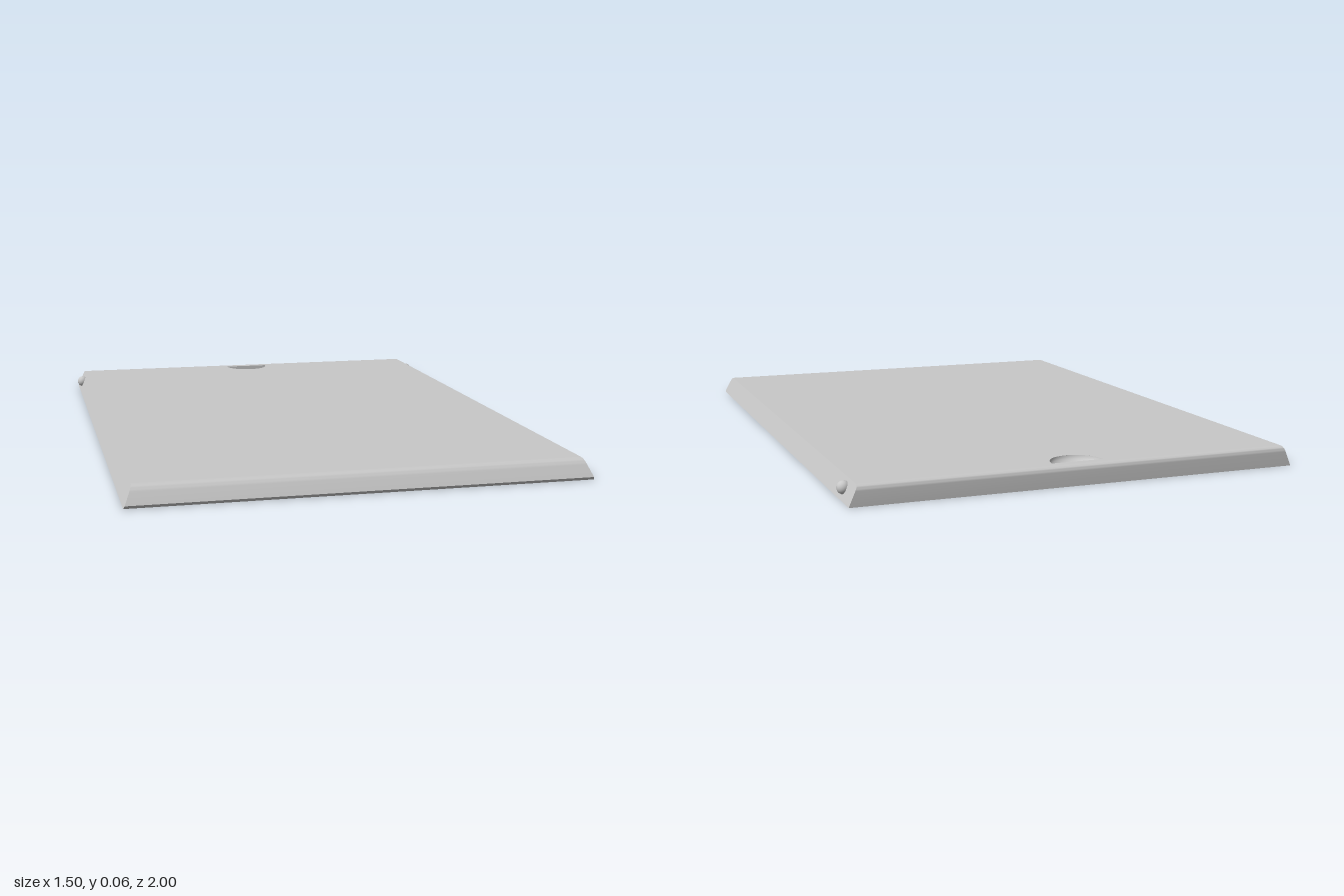
import * as THREE from 'three';
import { mergeGeometries, toCreasedNormals } from 'three/addons/utils/BufferGeometryUtils.js';

const H = 0.065;                        // lid thickness
const FLOOR = 0.05;                     // height of the pocket floors
const halfWidth = (y) => 0.74 - 0.43 * y; // sides lean inward
const BACK = -0.98, FRONT = 0.95;       // ends of the flat top
const NOTCH = { z: -0.953, r: 0.086, depth: 0.035 };

// Keep the part of a convex polygon where axis * sign <= limit
function clip(poly, axis, sign, limit) {
  const out = [];
  poly.forEach((a, i) => {
    const b = poly[(i + 1) % poly.length];
    const da = limit - sign * a[axis], db = limit - sign * b[axis];
    if (da >= 0) out.push(a);
    if (da * db < 0) out.push(a.clone().lerp(b, da / (da - db)));
  });
  return out;
}

// Hexagon pockets in staggered rows, trimmed to a rectangle
function honeycomb() {
  const pitch = 0.172, radius = 0.08, cells = [];
  for (let row = -6; row <= 6; row++) {
    for (let col = -5; col <= 5; col++) {
      const cx = (col + (row % 2 ? 0 : 0.5)) * pitch;
      const cz = row * pitch * Math.sqrt(3) / 2;
      let poly = [];
      for (let k = 0; k < 6; k++) {
        const a = (k + 0.5) * Math.PI / 3;
        poly.push(new THREE.Vector2(cx + radius * Math.cos(a), cz + radius * Math.sin(a)));
      }
      for (const s of [1, -1]) poly = clip(clip(poly, 'x', s, 0.575), 'y', s, 0.825);
      if (poly.length > 2) cells.push(poly);
    }
  }
  return cells;
}

// Inward-facing walls of one pocket
function pocketWalls(poly) {
  const pos = [];
  poly.forEach((a, i) => {
    const b = poly[(i + 1) % poly.length];
    pos.push(a.x, 0, a.y, b.x, FLOOR, b.y, b.x, 0, b.y);
    pos.push(a.x, 0, a.y, a.x, FLOOR, a.y, b.x, FLOOR, b.y);
  });
  const g = new THREE.BufferGeometry();
  g.setAttribute('position', new THREE.Float32BufferAttribute(pos, 3));
  g.computeVertexNormals();
  return g;
}

// Rim: side profile swept across the width, without its flat top and bottom
function rimGeometry() {
  const profile = new THREE.Shape();
  profile.moveTo(-1, 0);
  profile.lineTo(0.992, 0);
  profile.lineTo(1, 0.01);
  profile.lineTo(0.98, 0.047);
  profile.quadraticCurveTo(0.97, H, FRONT, H);
  profile.lineTo(BACK, H);
  profile.quadraticCurveTo(-1, H, -1, 0.047);
  profile.closePath();
  const swept = new THREE.ExtrudeGeometry(profile, { depth: 1, bevelEnabled: false, curveSegments: 6 });
  const src = swept.attributes.position, keep = [];
  const corner = (i) => {
    const y = src.getY(i);
    return new THREE.Vector3((src.getZ(i) < 0.5 ? 1 : -1) * halfWidth(y), y, src.getX(i));
  };
  for (let i = 0; i < src.count; i += 3) {
    const t = new THREE.Triangle(corner(i), corner(i + 1), corner(i + 2));
    if (Math.abs(t.getNormal(new THREE.Vector3()).y) > 0.999) continue;
    for (const v of [t.a, t.b, t.c]) keep.push(v.x, v.y, v.z);
  }
  const g = new THREE.BufferGeometry();
  g.setAttribute('position', new THREE.Float32BufferAttribute(keep, 3));
  return toCreasedNormals(g, 0.6);
}

function rectangle(hw, y0, y1) {
  return new THREE.Shape([[-hw, y0], [hw, y0], [hw, y1], [-hw, y1]].map((p) => new THREE.Vector2(...p)));
}

export function createModel() {
  const model = new THREE.Group();
  model.name = 'slidingLid';
  const grey = new THREE.MeshStandardMaterial({ color: 0xc8c8c8, side: THREE.DoubleSide });
  grey.name = 'lightGrey';
  const add = (name, geometry) => {
    const mesh = new THREE.Mesh(geometry, grey);
    mesh.name = name;
    model.add(mesh);
    return mesh;
  };

  add('rim', rimGeometry());

  // Top plate with a half-round opening for the thumb notch
  const top = rectangle(halfWidth(H), -FRONT, -BACK);
  const opening = new THREE.Path();
  opening.absarc(0, -NOTCH.z, NOTCH.r, Math.PI, 2 * Math.PI, false);
  opening.closePath();
  top.holes.push(opening);
  add('topPlate', new THREE.ShapeGeometry(top, 24).rotateX(-Math.PI / 2)).position.y = H;

  // Thumb notch: half of a shallow bowl closed by an upright wall
  const bowl = [];
  for (let i = 0; i <= 10; i++) {
    const a = (i / 10) * Math.PI / 2;
    bowl.push(new THREE.Vector2(NOTCH.r * Math.sin(a), -NOTCH.depth * Math.cos(a)));
  }
  add('thumbNotchBowl', new THREE.LatheGeometry(bowl, 24, -Math.PI / 2, Math.PI))
    .position.set(0, H, NOTCH.z);
  const wall = new THREE.Shape();
  wall.absellipse(0, 0, NOTCH.r, NOTCH.depth, Math.PI, 2 * Math.PI, false);
  add('thumbNotchWall', new THREE.ShapeGeometry(wall, 20)).position.set(0, H, NOTCH.z);

  // Underside with honeycomb pockets
  const cells = honeycomb();
  const bottom = rectangle(halfWidth(0), -1, 0.992);
  cells.forEach((c) => bottom.holes.push(new THREE.Path(c)));
  add('underside', new THREE.ShapeGeometry(bottom).rotateX(Math.PI / 2));
  add('pocketWalls', mergeGeometries(cells.map(pocketWalls)));
  add('pocketFloors', new THREE.ShapeGeometry(cells.map((c) => new THREE.Shape(c))).rotateX(Math.PI / 2))
    .position.y = FLOOR;

  // Snap bumps on both sides near the back
  for (const s of [1, -1]) {
    add(s > 0 ? 'leftSnapBump' : 'rightSnapBump', new THREE.SphereGeometry(0.021, 24, 16))
      .position.set(s * 0.728, 0.036, -0.9);
  }
  return model;
}
